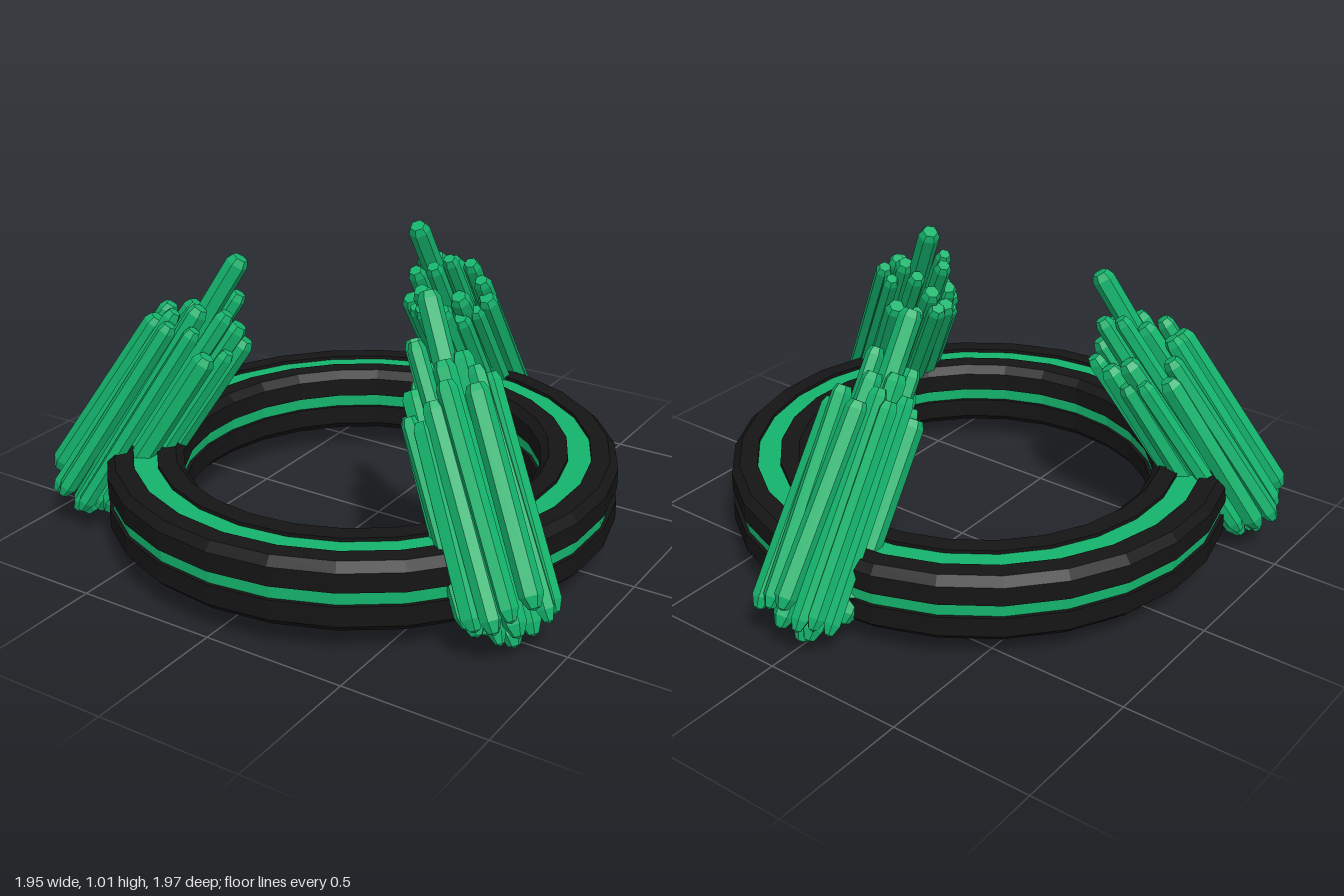
import * as THREE from 'three';

const green = new THREE.MeshStandardMaterial({ color: 0x14b36c, flatShading: true });
const black = new THREE.MeshStandardMaterial({ color: 0x151515, flatShading: true });

const SIDES = 26;
const RING_Z = 0.105;   // ring centre
const TILT = 0.576;     // inward lean of the crystal bundles
const BUNDLE_V = 0.865; // bundle axis offset from the ring centre, across the lean

function lathe(name, points, material, sides) {
  const geometry = new THREE.LatheGeometry(points.map(([r, y]) => new THREE.Vector2(r, y)), sides);
  const mesh = new THREE.Mesh(geometry, material);
  mesh.name = name;
  return mesh;
}

// Ring with chamfered corners and grooves on its outer, top and inner sides
function buildRing() {
  const ring = new THREE.Group();
  ring.name = 'ring';
  const ri = 0.622, ro = 0.886, y0 = 0.1, y1 = 0.34, c = 0.028, d = 0.016;
  const s0 = 0.198, s1 = 0.245, t0 = 0.715, t1 = 0.795;
  ring.add(lathe('ringBody', [
    [ri + c, y0], [ro - c, y0], [ro, y0 + c],
    [ro, s0], [ro - d, s0], [ro - d, s1], [ro, s1],
    [ro, y1 - c], [ro - c, y1],
    [t1, y1], [t1, y1 - d], [t0, y1 - d], [t0, y1],
    [ri + c, y1], [ri, y1 - c],
    [ri, s1], [ri + d, s1], [ri + d, s0], [ri, s0],
    [ri, y0 + c], [ri + c, y0],
  ], black, SIDES));
  // Coloured strips lying in the grooves
  const e = 0.003;
  ring.add(lathe('outerStrip', [[ro - d + e, s0], [ro - d + e, s1]], green, SIDES));
  ring.add(lathe('topStrip', [[t1, y1 - d + e], [t0, y1 - d + e]], green, SIDES));
  ring.add(lathe('innerStrip', [[ri + d - e, s1], [ri + d - e, s0]], green, SIDES));
  return ring;
}

// Crystals of one bundle: sideways, outward, bottom and top along the bundle axis
const CRYSTALS = [
  [-0.03, 0.150, -0.40, 0.30], [0.05, 0.125, -0.42, 0.33], [-0.12, 0.10, -0.43, 0.33],
  [0.13, 0.055, -0.42, 0.23], [-0.075, 0.115, -0.45, 0.36], [0.10, 0.10, -0.44, 0.28],
  [-0.02, 0.005, -0.50, 0.63], [0.055, 0.02, -0.48, 0.48], [0.01, 0.07, -0.47, 0.40],
  [-0.07, 0.035, -0.48, 0.42], [-0.125, 0.02, -0.44, 0.36], [0.09, -0.03, -0.44, 0.34],
  [-0.06, -0.04, -0.44, 0.45], [0.03, -0.05, -0.44, 0.50], [-0.115, -0.06, -0.40, 0.30],
  [0.125, -0.02, -0.41, 0.26], [0.0, -0.145, -0.45, 0.38], [0.055, -0.12, -0.39, 0.34],
  [-0.06, -0.115, -0.39, 0.33], [-0.015, -0.09, -0.42, 0.42], [0.095, -0.085, -0.39, 0.27],
];

// Six-sided crystal with tapered blunt ends
function buildCrystal([u, v, bottom, top], i) {
  const wobble = (k) => Math.sin(i * k + 1);
  const r = 0.035 + 0.005 * wobble(2.3);
  const mid = (bottom + top) / 2;
  const half = (top - bottom) / 2;
  const crystal = lathe('crystal', [
    [0, -half], [0.5 * r, -half + 0.008], [r, -half + 0.045],
    [r, half - 0.025], [0.7 * r, half], [0, half],
  ], green, 6);
  crystal.position.set(u, mid, -BUNDLE_V - v);
  crystal.rotation.set(0.02 * wobble(1.7), i * 0.9, 0.02 * wobble(3.1));
  return crystal;
}

function buildBundle() {
  const bundle = new THREE.Group();
  bundle.name = 'crystalBundle';
  const lean = new THREE.Group();
  lean.name = 'leaningCrystals';
  lean.rotation.x = TILT;
  CRYSTALS.forEach((c, i) => lean.add(buildCrystal(c, i)));
  bundle.add(lean);
  return bundle;
}

export function createModel() {
  const model = new THREE.Group();
  model.name = 'crystalRing';
  model.position.z = RING_Z;
  model.add(buildRing());
  // Three bundles evenly spaced around the ring
  for (let k = 0; k < 3; k++) {
    const bundle = buildBundle();
    bundle.rotation.y = (k * Math.PI * 2) / 3;
    model.add(bundle);
  }
  const root = new THREE.Group();
  root.name = 'model';
  root.add(model);
  return root;
}
